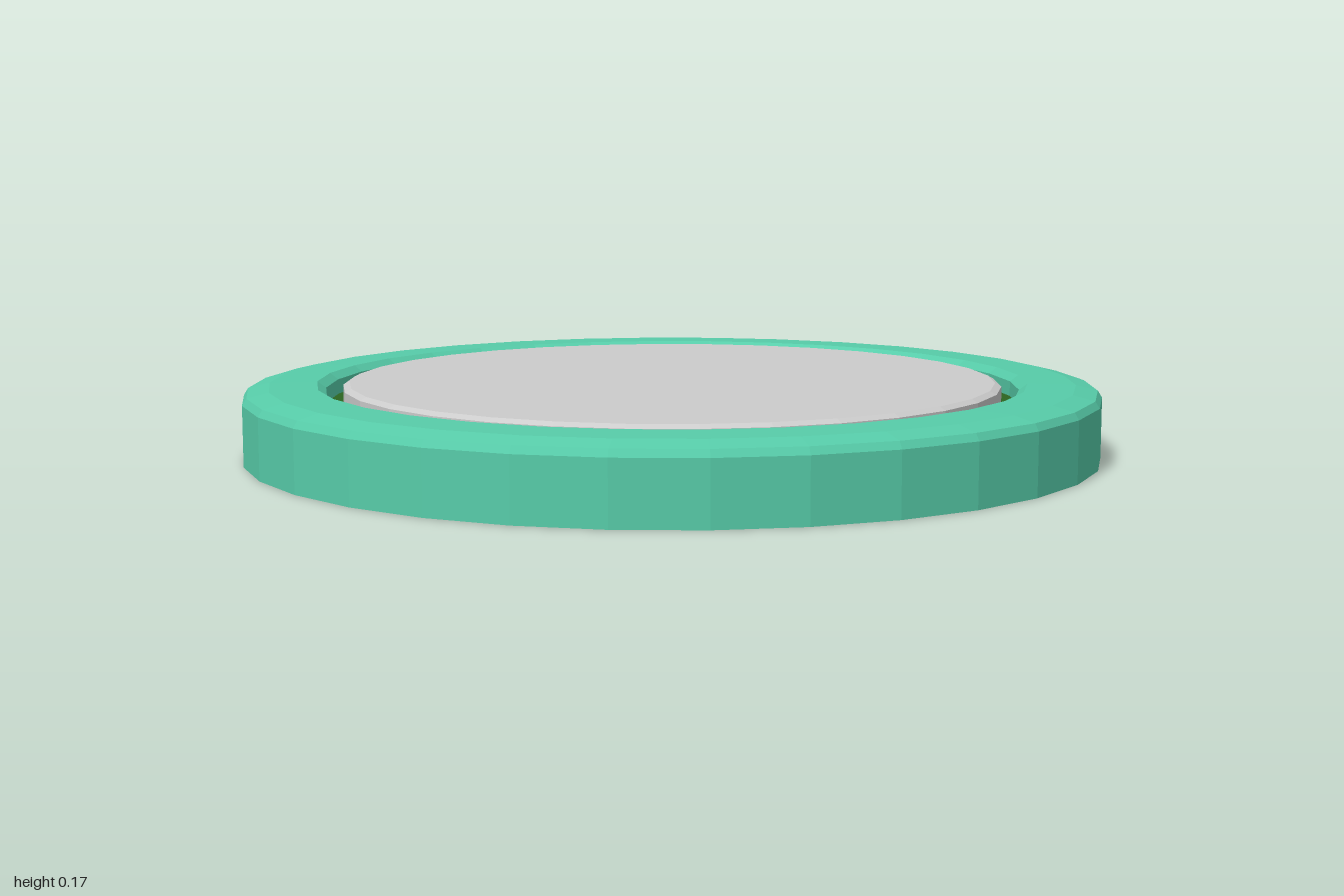
import * as THREE from 'three';

const SIDES = 32;

// Turned part from a [radius, height] profile, running up the outside and in over the top
function turned(name, color, profile) {
  const points = profile.map(([r, y]) => new THREE.Vector2(r, y));
  const material = new THREE.MeshStandardMaterial({ color, flatShading: true });
  const mesh = new THREE.Mesh(new THREE.LatheGeometry(points, SIDES), material);
  mesh.name = name;
  return mesh;
}

export function createModel() {
  const model = new THREE.Group();
  model.name = 'roundPad';

  // Base dish: closed underside, straight wall, softened rim and sloped inner wall
  model.add(turned('baseRim', 0x57cca9, [
    [0, 0], [1, 0], [1, 0.14], [0.99, 0.156], [0.94, 0.168],
    [0.83, 0.17], [0.81, 0.155], [0.81, 0.12],
  ]));

  // Dark floor of the recess, seen as a thin ring around the disc
  model.add(turned('recessFloor', 0x2c6520, [[0.81, 0.12], [0, 0.12]]));

  // Raised centre disc with a small bevelled edge
  model.add(turned('centreDisc', 0xcccccc, [
    [0.77, 0.12], [0.77, 0.162], [0.755, 0.17], [0, 0.17],
  ]));

  return model;
}
